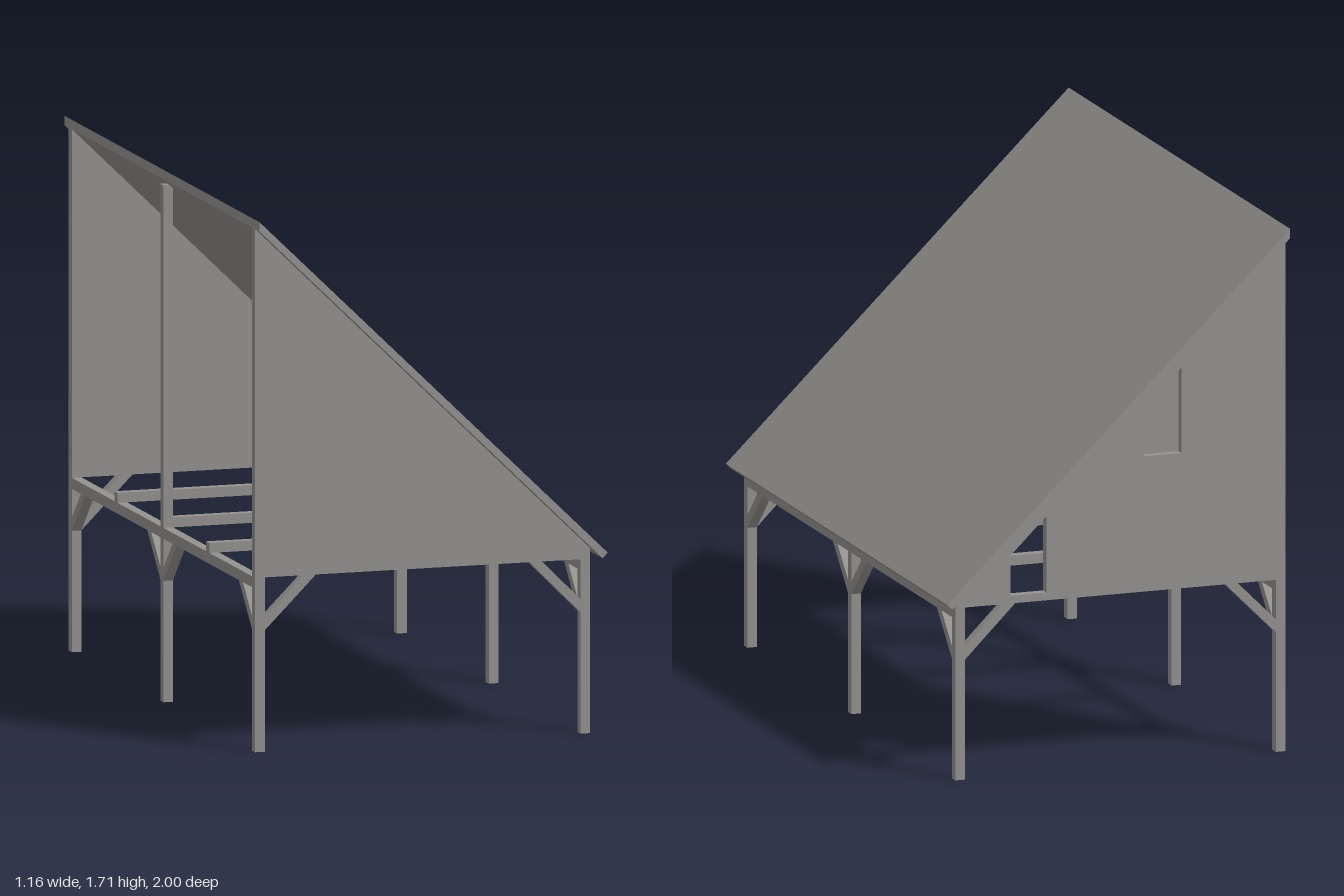
import * as THREE from 'three';

export function createModel() {
  const root = new THREE.Group();
  root.name = 'leanToShelter';
  const timber = new THREE.MeshStandardMaterial({ color: 0x94928f });
  timber.name = 'grey timber';

  const add = (name, geometry) => {
    const mesh = new THREE.Mesh(geometry, timber);
    mesh.name = name;
    root.add(mesh);
    return mesh;
  };
  // box given by its minimum and maximum corners
  const box = (name, x0, x1, y0, y1, z0, z1) =>
    add(name, new THREE.BoxGeometry(x1 - x0, y1 - y0, z1 - z0))
      .position.set((x0 + x1) / 2, (y0 + y1) / 2, (z0 + z1) / 2);
  const shapeOf = (points) => new THREE.Shape(points.map(([x, y]) => new THREE.Vector2(x, y)));
  const extrude = (shape, depth) => new THREE.ExtrudeGeometry(shape, { depth, bevelEnabled: false });

  const T = 0.032;            // timber thickness
  const LEFT = 0.533, RIGHT = -0.58, END = 0.955;
  const BEAM = 0.525, FLOOR = 0.56;
  const underside = (x) => 1.68 - 0.9754 * (x - RIGHT);

  // sloping roof slab
  const roof = shapeOf([[RIGHT, 1.68], [0.56, 0.568], [0.577, 0.585], [RIGHT, 1.71]]);
  add('roof', extrude(roof, 2)).position.z = -1;

  // gable walls with window recesses under the slope
  const windowShape = (x0, x1, y0) => shapeOf([
    [x0, y0], [x1, y0], [x1, underside(x1) - 0.06], [x0, underside(x0) - 0.06]]);
  const highWindow = windowShape(-0.23, -0.104, 1.0);
  const lowWindow = windowShape(0.226, 0.347, 0.585);
  const gable = (holes) => {
    const s = shapeOf([[RIGHT, FLOOR], [LEFT, FLOOR], [LEFT, underside(LEFT)], [RIGHT, underside(RIGHT)]]);
    s.holes.push(...holes);
    return s;
  };
  const skin = 0.005;
  [['front', END - T, []], ['back', -END, [lowWindow]]].forEach(([side, z, openings]) => {
    add(side + 'Gable', extrude(gable([highWindow, lowWindow]), T - skin)).position.z = z;
    add(side + 'GableLining', extrude(gable(openings), skin)).position.z = z + T - skin;
  });

  // diagonal brace drawn beside the origin, rising towards +x
  const braceGeometry = (rise) => extrude(
    shapeOf([[0, 0], [rise, rise], [rise - 0.042, rise], [0, 0.042]]), T);

  for (const x of [RIGHT, LEFT - T]) {
    // long beam and its three posts
    box('sideBeam', x, x + T, BEAM, FLOOR, -END, END);
    for (const z of [-END + T / 2, 0, END - T / 2]) {
      box('post', x, x + T, 0, BEAM, z - T / 2, z + T / 2);
      // braces along the beam
      for (const dir of [-1, 1]) {
        if (Math.abs(z + dir * 0.1) > 0.94) continue;
        const brace = add('beamBrace', braceGeometry(BEAM - 0.39));
        brace.rotation.y = -dir * Math.PI / 2;
        brace.position.set(dir > 0 ? x + T : x, 0.39, z + dir * T / 2);
      }
    }
  }

  // braces under the gables
  for (const z of [-END, END - T]) {
    const rightBrace = add('gableBrace', braceGeometry(FLOOR - 0.39));
    rightBrace.position.set(RIGHT + T, 0.39, z);
    const leftBrace = add('gableBrace', braceGeometry(FLOOR - 0.39));
    leftBrace.rotation.y = Math.PI;
    leftBrace.position.set(LEFT - T, 0.39, z + T);
  }

  // cross joists resting on the beams
  for (const z of [-0.47, 0, 0.47])
    box('joist', RIGHT, LEFT, FLOOR, 0.592, z - T / 2, z + T / 2);

  // tall middle post on the open side
  box('tallPost', RIGHT, RIGHT + T, FLOOR, 1.66, -T / 2, T / 2);

  return root;
}
